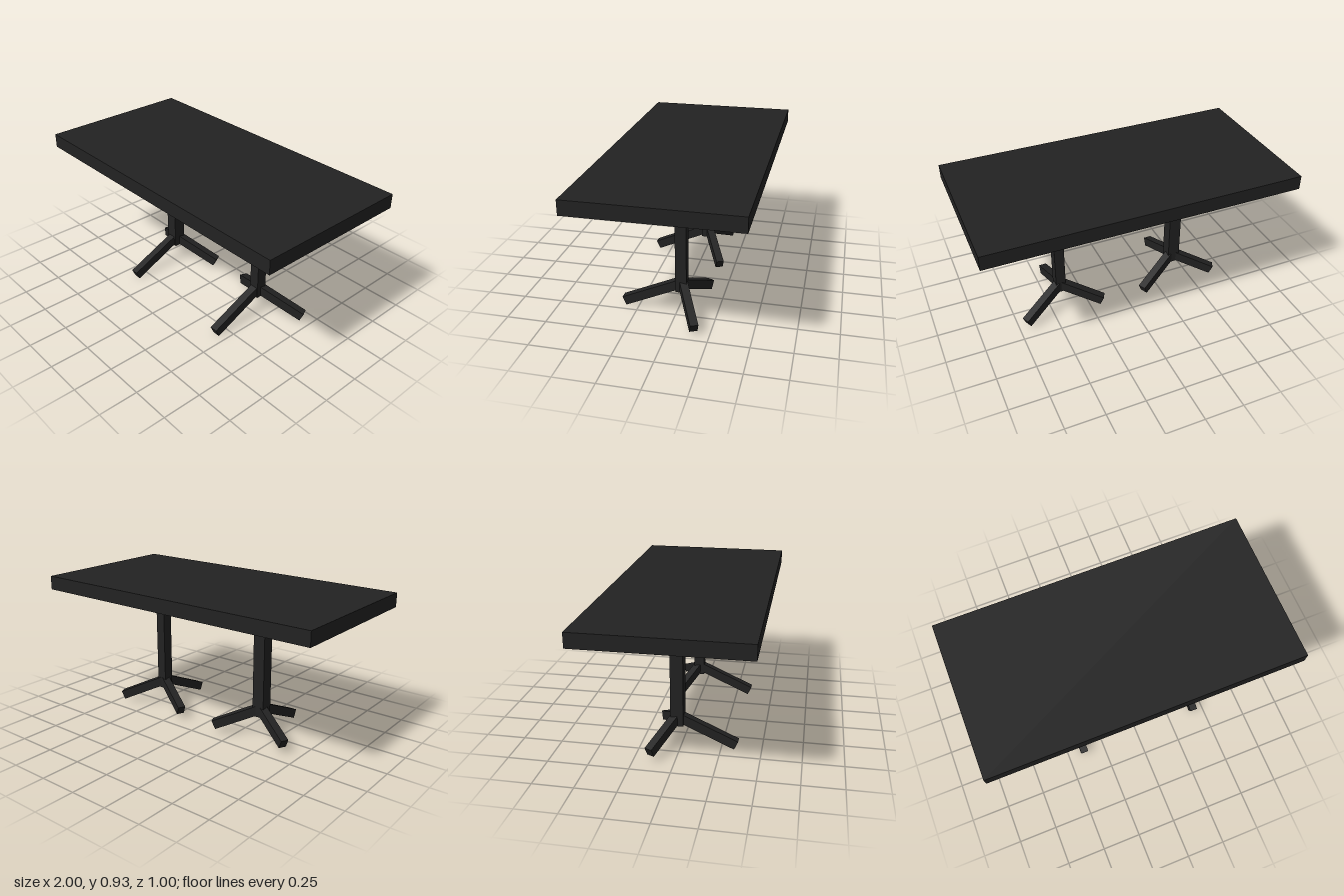
import * as THREE from 'three';

const material = new THREE.MeshStandardMaterial({ color: 0x222222 });
const PITCH = 0.423; // downward slope of the feet
const FOOT_W = 0.05, FOOT_H = 0.059;

function box(name, w, h, d, x, y, z) {
  const mesh = new THREE.Mesh(new THREE.BoxGeometry(w, h, d), material);
  mesh.name = name;
  mesh.position.set(x, y, z);
  return mesh;
}

// Sloping foot: its upper outer edge lies at the given reach and height
function foot(name, heading, reach, height) {
  const length = reach / Math.cos(PITCH);
  const geometry = new THREE.BoxGeometry(FOOT_W, FOOT_H, length);
  geometry.translate(0, -FOOT_H / 2, -length / 2);
  const mesh = new THREE.Mesh(geometry, material);
  mesh.position.set(0, height, reach);
  mesh.rotation.x = PITCH;
  const group = new THREE.Group();
  group.name = name;
  group.rotation.y = THREE.MathUtils.degToRad(heading);
  group.position.z = -0.03;
  group.add(mesh);
  return group;
}

// Square post standing on three feet
function pedestal(name, x, width, depth) {
  const group = new THREE.Group();
  group.name = name;
  group.position.x = x;
  group.add(
    box('post', width, 0.71, depth, 0, 0.495, -0.025),
    foot('frontFoot', 0, 0.385, 0.057),
    foot('leftFoot', 115.5, 0.315, 0.08),
    foot('rightFoot', -115.5, 0.292, 0.09),
  );
  return group;
}

export function createModel() {
  const table = new THREE.Group();
  table.name = 'table';
  table.add(
    box('tableTop', 2, 0.09, 1, 0, 0.885, 0),
    pedestal('rightPedestal', -0.39, 0.08, 0.08),
    pedestal('leftPedestal', 0.428, 0.065, 0.07),
  );
  return table;
}
